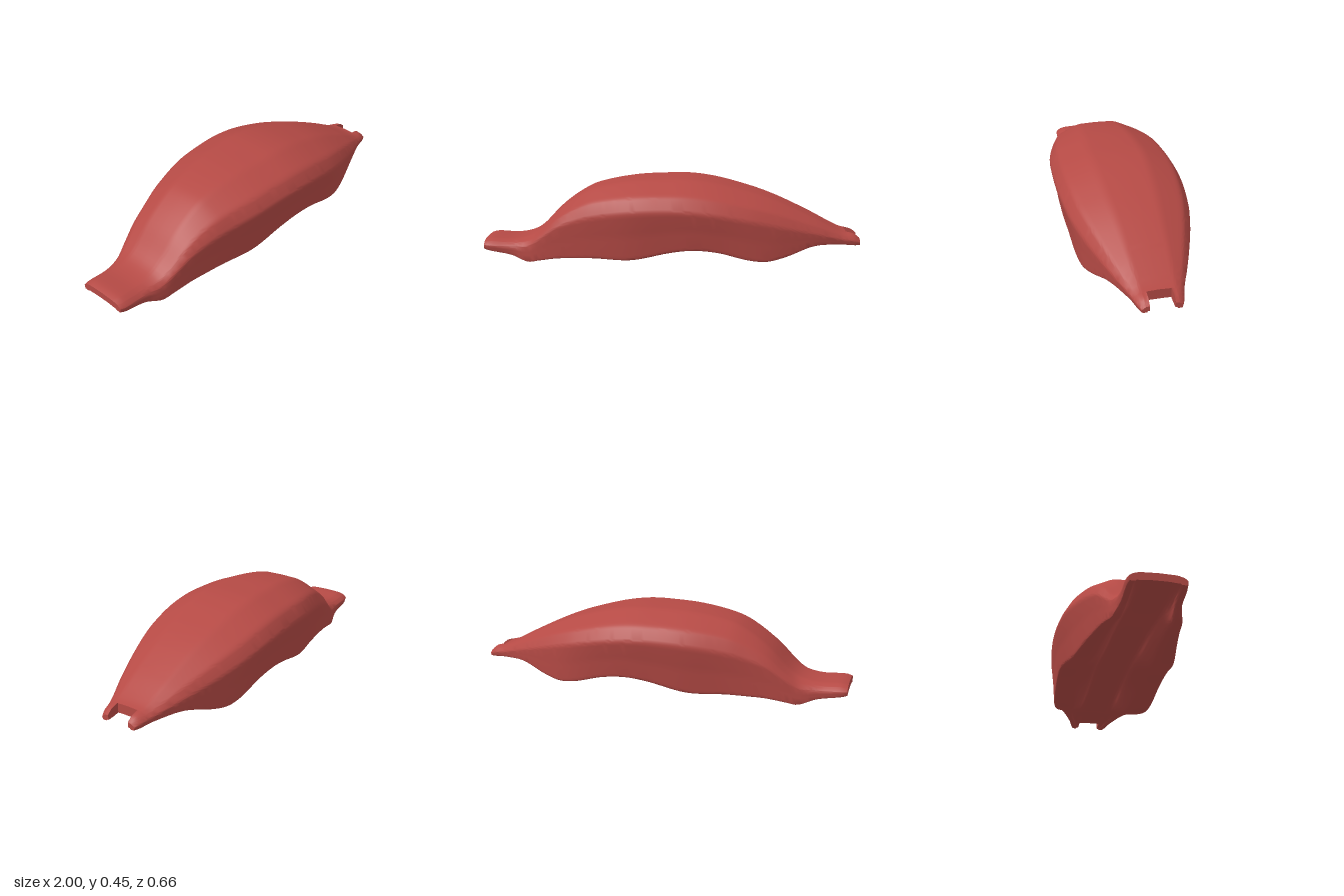
import * as THREE from 'three';
import { toCreasedNormals } from 'three/addons/utils/BufferGeometryUtils.js';

// Stations along the body: x, top, bottom, half width, height of widest line, flat top half width, rim half width
const STATIONS = [
  [-1, 0.108, 0.06, 0.133, 0.083, 0.085, 0.128],
  [-0.97, 0.116, 0.052, 0.141, 0.08, 0.09, 0.135],
  [-0.85, 0.112, 0.03, 0.145, 0.075, 0.09, 0.14],
  [-0.76, 0.13, 0, 0.165, 0.085, 0.09, 0.165],
  [-0.7, 0.168, 0.01, 0.183, 0.125, 0.09, 0.178],
  [-0.6, 0.27, 0.027, 0.21, 0.195, 0.095, 0.195],
  [-0.5, 0.345, 0.034, 0.235, 0.235, 0.1, 0.212],
  [-0.4, 0.395, 0.039, 0.262, 0.262, 0.105, 0.23],
  [-0.2, 0.434, 0.04, 0.31, 0.293, 0.12, 0.264],
  [0, 0.444, 0.085, 0.328, 0.304, 0.135, 0.284],
  [0.12, 0.442, 0.1, 0.331, 0.3, 0.138, 0.292],
  [0.25, 0.423, 0.088, 0.326, 0.285, 0.132, 0.29],
  [0.4, 0.384, 0.05, 0.307, 0.257, 0.124, 0.283],
  [0.5, 0.352, 0.04, 0.283, 0.235, 0.116, 0.27],
  [0.6, 0.312, 0.06, 0.252, 0.21, 0.108, 0.243],
  [0.75, 0.241, 0.106, 0.196, 0.172, 0.098, 0.192],
  [0.9, 0.164, 0.1, 0.133, 0.13, 0.086, 0.128],
  [0.97, 0.146, 0.092, 0.112, 0.117, 0.08, 0.107],
  [1, 0.124, 0.09, 0.098, 0.106, 0.076, 0.094],
];

// Smooth interpolation of every station column at x
function stationAt(x) {
  const s = STATIONS;
  const last = s.length - 1;
  let i = 0;
  while (i < last - 1 && x > s[i + 1][0]) i++;
  const h = s[i + 1][0] - s[i][0];
  const t = (x - s[i][0]) / h;
  const slope = (k, c) => {
    const a = s[Math.max(k - 1, 0)], b = s[Math.min(k + 1, last)];
    return (b[c] - a[c]) / (b[0] - a[0]);
  };
  return s[i].map((p, c) => {
    const q = s[i + 1][c];
    return p * (2 * t ** 3 - 3 * t * t + 1) + q * (3 * t * t - 2 * t ** 3)
      + h * slope(i, c) * (t ** 3 - 2 * t * t + t) + h * slope(i + 1, c) * (t ** 3 - t * t);
  });
}

// Polyline of [z, y] points with every inner corner rounded by a short arc
function rounded(points, reach) {
  const out = [points[0]];
  for (let i = 1; i < points.length - 1; i++) {
    const p = new THREE.Vector2(...points[i]);
    const a = p.clone().lerp(new THREE.Vector2(...points[i - 1]), reach);
    const b = p.clone().lerp(new THREE.Vector2(...points[i + 1]), reach);
    new THREE.QuadraticBezierCurve(a, p, b).getPoints(4).forEach((v) => out.push([v.x, v.y]));
  }
  out.push(points[points.length - 1]);
  return out;
}

// Outer half profile, and underside half profile with its central channel
function halfProfiles(x) {
  const [, top, bot, wide, yWide, zTop, zRim] = stationAt(x);
  const zSh = Math.max(wide * 0.86, zTop + 0.008);
  const ySh = yWide + (top - yWide) * 0.54;
  const outer = rounded([
    [0, top], [zTop, top - 0.003], [zSh, ySh], [wide, yWide],
    [wide + (zRim - wide) * 0.6, yWide + (bot - yWide) * 0.5],
    [zRim, bot], [zRim - 0.02, bot],
  ], 0.2);
  const zEdge = zRim - 0.02;
  const zCh = Math.min(0.1, zRim * 0.7);
  const ceiling = Math.max(bot + 0.008, 0.115 - 0.045 * THREE.MathUtils.smoothstep(-x, 0.3, 0.85)
    + 0.025 * Math.exp(-(((x - 0.12) / 0.3) ** 2)) - 0.015 * THREE.MathUtils.smoothstep(x, 0.5, 0.9));
  const under = rounded([
    [0, ceiling], [zCh * 0.5, ceiling], [zCh * 0.85, ceiling - 0.003],
    [zCh + 0.004, ceiling + (bot - ceiling) * 0.45],
    [zCh + (zEdge - zCh) * 0.35, bot + 0.008],
    [zCh + (zEdge - zCh) * 0.65, bot + 0.001], [zEdge, bot],
  ], 0.4);
  return { outer, under };
}

const mirror = (pts) => pts.map(([z, y]) => [-z, y]);

// Full section, from the left rim over the top and back underneath
function fullRing(x) {
  const { outer, under } = halfProfiles(x);
  const across = (p) => [...p.slice().reverse(), ...mirror(p.slice(1))];
  return [...across(outer), ...across(under).reverse()];
}

// One side only, cut flat beside the end notch
function prongRing(x, side) {
  const { outer, under } = halfProfiles(x);
  const cut = (p) => p.map(([z, y]) => [Math.max(z, 0.06), y]);
  return side > 0
    ? [...cut(outer).reverse(), ...cut(under)]
    : [...mirror(cut(outer)), ...mirror(cut(under)).reverse()];
}

// Loft closed rings between two x positions, with end caps
function loft(x0, x1, steps, ringAt) {
  const pos = [], idx = [];
  let n = 0;
  for (let i = 0; i <= steps; i++) {
    const x = x0 + ((x1 - x0) * i) / steps;
    const ring = ringAt(x);
    n = ring.length;
    ring.forEach(([z, y]) => pos.push(x, y, z));
  }
  for (let i = 0; i < steps; i++) {
    for (let j = 0; j < n; j++) {
      const k = (j + 1) % n;
      const a = i * n + j, b = a + n, c = i * n + k, d = c + n;
      idx.push(a, b, c, b, d, c);
    }
  }
  const e = steps * n;
  for (let j = 0; j < n / 2 - 1; j++) {
    const p = n - 1 - j, q = p - 1;
    idx.push(j, j + 1, q, j, q, p);
    idx.push(e + j, e + q, e + j + 1, e + j, e + p, e + q);
  }
  const geo = new THREE.BufferGeometry();
  geo.setAttribute('position', new THREE.Float32BufferAttribute(pos, 3));
  geo.setIndex(idx);
  return toCreasedNormals(geo, 0.75);
}

export function createModel() {
  const group = new THREE.Group();
  group.name = 'curvedCover';
  const red = new THREE.MeshStandardMaterial({ color: 0xb54a45 });
  red.name = 'brickRed';
  const add = (name, geo) => {
    const mesh = new THREE.Mesh(geo, red);
    mesh.name = name;
    group.add(mesh);
  };

  // Domed body with its flat tail tongue and channelled underside
  add('body', loft(-1, 0.93, 100, fullRing));
  // Two prongs on either side of the end notch
  add('leftProng', loft(0.93, 1, 8, (x) => prongRing(x, 1)));
  add('rightProng', loft(0.93, 1, 8, (x) => prongRing(x, -1)));
  return group;
}
